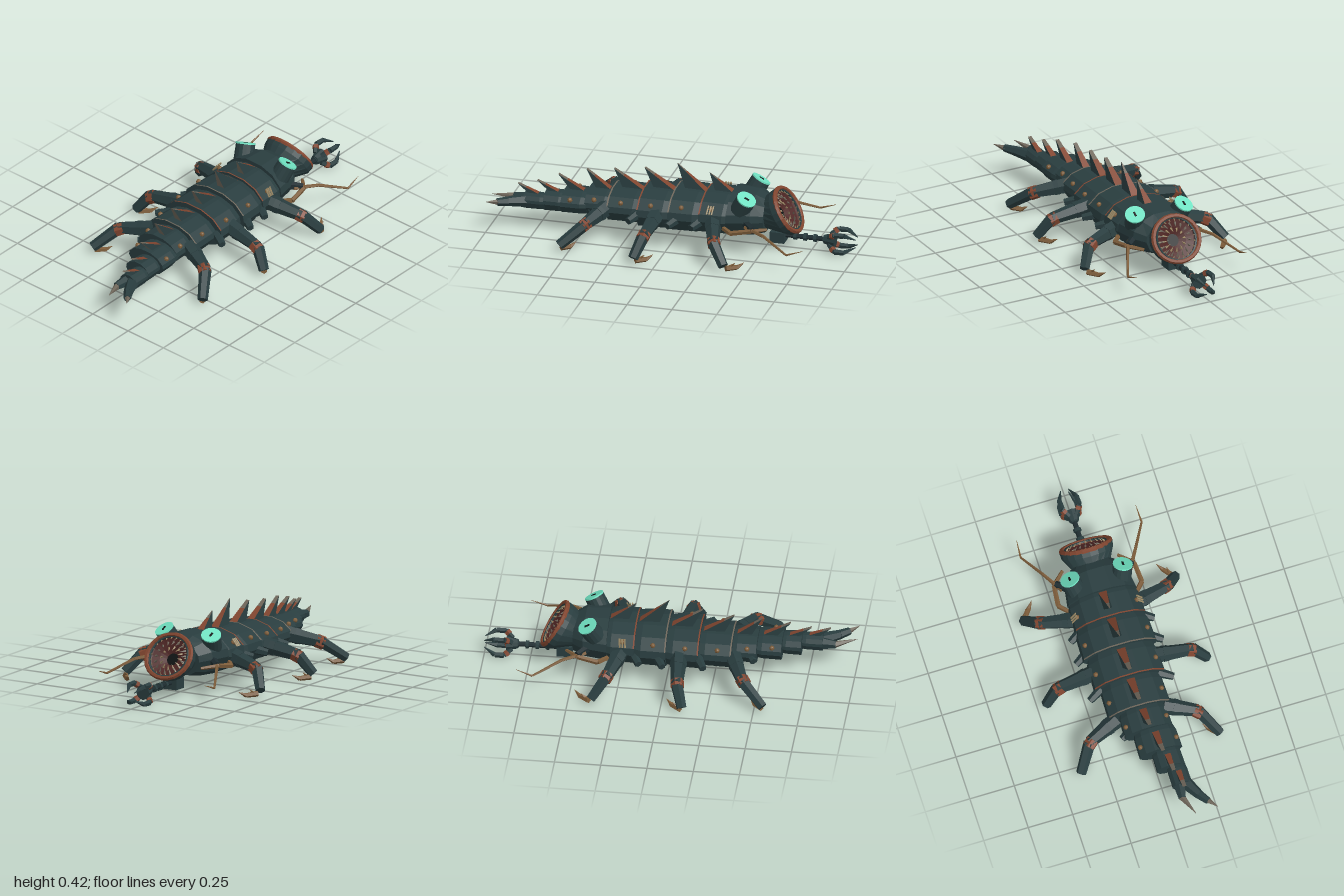
import * as THREE from 'three';

const material = (name, color, extra = {}) =>
  Object.assign(new THREE.MeshStandardMaterial({ color, flatShading: true, ...extra }), { name });
const V = (x, y, z) => new THREE.Vector3(x, y, z);

export function createModel() {
  const shell = material('dark teal shell', 0x293d3f);
  const joint = material('dark joint', 0x1e2c30);
  const rust = material('rust', 0x824630);
  const tan = material('brown claw', 0x7c5c3a);
  const taupe = material('grey horn', 0x6e665a);
  const bone = material('pale bone', 0x9c8a66);
  const aqua = material('aqua eye', 0x70e2c2);
  const black = material('black', 0x101414);
  const flesh = material('mouth flesh', 0x4e2624, { side: THREE.DoubleSide });
  const model = new THREE.Group();

  const add = (name, geo, mat, parent = model) => {
    const mesh = new THREE.Mesh(geo, mat);
    mesh.name = name;
    parent.add(mesh);
    return mesh;
  };
  // Tapered bar between two points
  const bar = (name, a, b, ra, rb, mat, sides = 6) => {
    const d = b.clone().sub(a);
    const m = add(name, new THREE.CylinderGeometry(rb, ra, d.length(), sides), mat);
    m.position.copy(a).addScaledVector(d, 0.5);
    m.quaternion.setFromUnitVectors(V(0, 1, 0), d.normalize());
  };
  // Chain of bars through several points
  const chain = (name, pts, radii, mat, sides = 6) => {
    for (let i = 0; i + 1 < pts.length; i++) bar(name, pts[i], pts[i + 1], radii[i], radii[i + 1], mat, sides);
  };
  const mirror = (p, s) => V(p[0] * s, p[1], p[2]);

  const fromPoints = (points) => {
    const g = new THREE.BufferGeometry().setFromPoints(points);
    g.computeVertexNormals();
    return g;
  };
  // Skin over rings of points, ordered along +z
  const loft = (rings, closed = true, capFront = true) => {
    const pts = [];
    const n = rings[0].length;
    for (let i = 0; i + 1 < rings.length; i++)
      for (let j = 0; j < (closed ? n : n - 1); j++) {
        const k = (j + 1) % n, [r, q] = [rings[i], rings[i + 1]];
        pts.push(r[j], r[k], q[k], r[j], q[k], q[j]);
      }
    if (closed) {
      const first = rings[0], last = rings[rings.length - 1];
      for (let j = 1; j < n - 1; j++) {
        if (capFront) pts.push(first[0], first[j + 1], first[j]);
        pts.push(last[0], last[j], last[j + 1]);
      }
    }
    return fromPoints(pts);
  };
  // Flat face with corners in counter-clockwise order
  const face = (name, mat, a, b, c, d) => add(name, fromPoints(d ? [a, b, c, a, c, d] : [a, b, c]), mat);

  // Body cross-section: half profile mirrored
  const half = [[0.5, 0], [0.8, 0.13], [1, 0.45], [0.96, 0.64], [0.68, 0.88], [0.27, 1]];
  const profile = [...half, ...half.slice().reverse().map(([x, y]) => [-x, y])];
  const ring = (z, cx, w, yb, yt, s = 1, pts = profile) => {
    const mid = (yb + yt) / 2;
    return pts.map(([x, y]) => V(cx + x * w * s, mid + (yb + y * (yt - yb) - mid) * s, z));
  };

  // Overlapping body plates: z0, z1, centre x, half width, bottom, top
  const plates = [
    [-0.34, -0.17, 0, 0.2, 0.08, 0.295], [-0.18, 0, 0, 0.208, 0.075, 0.29],
    [-0.01, 0.175, 0, 0.2, 0.075, 0.275], [0.16, 0.35, 0, 0.175, 0.085, 0.255],
    [0.34, 0.48, 0.012, 0.135, 0.1, 0.24], [0.47, 0.61, 0.04, 0.12, 0.105, 0.225],
    [0.6, 0.71, 0.066, 0.08, 0.108, 0.212], [0.7, 0.82, 0.095, 0.055, 0.115, 0.2],
  ];
  // Back spine tips: y, z
  const tips = [[0.385, -0.18], [0.42, 0], [0.375, 0.18], [0.35, 0.35], [0.335, 0.5], [0.3, 0.65], [0.262, 0.76], [0.245, 0.86]];

  plates.forEach(([z0, z1, cx, w, yb, yt], i) => {
    const at = (z, s, pts) => ring(z, cx, w, yb, yt, s, pts);
    add('bodyPlate', loft([at(z0, 0.9), at(z0 + (z1 - z0) * 0.25, 0.98), at(z1, 1)]), shell);
    if (i < 4) {
      const top = profile.slice(3, 9);
      add('plateRim', loft([at(z1 - 0.007, 1.006, top), at(z1 + 0.001, 1.01, top)], false), i % 2 ? taupe : rust);
    }
    if (i < 6) for (const s of [1, -1]) {
      const bolt = add('bolt', new THREE.SphereGeometry(0.014, 8, 6), tan);
      bolt.position.set(cx + s * w * 0.84, yb + (yt - yb) * 0.75, (z0 + z1) / 2 + 0.02);
    }
    // Spine blade: rust front, shell sides, horn tip and back
    const b = w * 0.06 + 0.014, t = i < 2 ? 0.002 : 0.01;
    const zf = z0 + 0.01, zb = z1 - (z1 - z0) * 0.3, yf = yt - 0.015;
    const [fl, fr, bl, br] = [V(cx - b, yf, zf), V(cx + b, yf, zf), V(cx - b, yf, zb), V(cx + b, yf, zb)];
    const [tl, tr] = [V(cx - t, ...tips[i]), V(cx + t, ...tips[i])];
    const [ml, mr] = [fl.clone().lerp(tl, 0.7), fr.clone().lerp(tr, 0.7)];
    face('spineFront', rust, fr, fl, ml, mr);
    face('spineTip', taupe, mr, ml, tl, tr);
    face('spineSide', shell, fl, bl, tl);
    face('spineSide', shell, br, fr, tr);
    face('spineBack', taupe, bl, br, tr, tl);
  });

  // Head
  add('head', loft([ring(-0.51, 0, 0.125, 0.1, 0.275), ring(-0.45, 0, 0.175, 0.09, 0.305), ring(-0.32, 0, 0.195, 0.08, 0.31)]), shell);

  // Funnel mouth with a thick lip facing forward and up
  const circle = (n, f) => Array.from({ length: n }, (_, i) => f(Math.cos(i / n * Math.PI * 2), Math.sin(i / n * Math.PI * 2)));
  const lipRing = (back, k) => circle(20, (c, s) =>
    V(c * 0.148 * k, 0.218 + s * 0.114 * k - back * 0.52, -0.618 + s * 0.07 * k + back * 0.854));
  const neckRing = circle(20, (c, s) => V(c * 0.09, 0.19 + s * 0.08, -0.48));
  add('mouthFunnel', loft([lipRing(0, 1), lipRing(0.035, 0.98), neckRing], true, false), shell);
  const mouth = new THREE.Group();
  mouth.name = 'mouth';
  mouth.position.set(0, 0.218, -0.618);
  mouth.lookAt(0, 0.218 + 0.52, -0.618 - 0.854);
  model.add(mouth);
  add('mouthRim', new THREE.TorusGeometry(0.135, 0.014, 6, 24), rust, mouth).scale.y = 0.93;
  add('innerRim', new THREE.TorusGeometry(0.116, 0.007, 5, 24), shell, mouth);
  const throat = new THREE.LatheGeometry([[0.135, 0], [0.11, -0.015], [0.07, -0.03], [0.03, -0.05]].map(([r, y]) => new THREE.Vector2(r, y)), 20);
  add('throat', throat.rotateX(Math.PI / 2), flesh, mouth);
  add('gullet', new THREE.CircleGeometry(0.034, 16), black, mouth).position.z = -0.047;
  [[0.108, 22, 0], [0.08, 17, -0.014], [0.054, 12, -0.026]].forEach(([r, n, z], k) => {
    for (let i = 0; i < n; i++) {
      const a = (i + k * 0.5) / n * Math.PI * 2;
      const tooth = add('tooth', new THREE.ConeGeometry(0.008, 0.036, 4), k === 1 ? taupe : bone, mouth);
      tooth.position.set(Math.cos(a) * r, Math.sin(a) * r, z);
      tooth.quaternion.setFromUnitVectors(V(0, 1, 0), V(-Math.cos(a), -Math.sin(a), 0.75).normalize());
    }
  });

  // Grabber under the mouth with four fingers
  add('grabberBase', new THREE.BoxGeometry(0.08, 0.06, 0.08), shell).position.set(0, 0.063, -0.565);
  bar('grabberArm', V(0, 0.07, -0.58), V(0, 0.07, -0.84), 0.014, 0.014, joint, 8);
  for (let i = 0; i < 4; i++) bar('grabberCollar', V(0, 0.07, -0.65 - i * 0.055), V(0, 0.07, -0.667 - i * 0.055), 0.022, 0.022, shell, 8);
  bar('grabberPalm', V(0, 0.07, -0.82), V(0, 0.07, -0.88), 0.026, 0.042, shell, 8);
  for (let i = 0; i < 4; i++) {
    const a = Math.PI * (0.25 + i * 0.5);
    const p = (r, z) => V(Math.cos(a) * r, 0.07 + Math.sin(a) * r, z);
    chain('grabberFinger', [p(0.03, -0.85), p(0.068, -0.89), p(0.068, -0.94), p(0.03, -1)], [0.014, 0.016, 0.014, 0.002], shell, 5);
    bar('grabberKnuckle', p(0.05, -0.868), p(0.064, -0.883), 0.018, 0.018, rust, 5);
  }

  // Legs: hip, knee, ankle, claw tip
  const legs = [
    [[0.15, 0.175, -0.24], [0.36, 0.135, -0.3], [0.428, 0.035, -0.375], [0.35, 0.035, -0.47]],
    [[0.15, 0.175, 0.07], [0.38, 0.135, 0.085], [0.453, 0.035, 0.12], [0.375, 0.035, 0.03]],
    [[0.13, 0.17, 0.36], [0.305, 0.135, 0.43], [0.39, 0.035, 0.55], [0.315, 0.035, 0.475]],
  ];
  for (const s of [1, -1]) {
    for (const leg of legs) {
      const [hip, knee, ankle, tip] = leg.map((p) => mirror(p, s));
      bar('upperLeg', hip, knee, 0.048, 0.033, shell);
      bar('hipCollar', hip.clone().lerp(knee, 0.28), hip.clone().lerp(knee, 0.42), 0.047, 0.044, shell);
      bar('kneeGuard', knee.clone().lerp(hip, 0.13), knee.clone().lerp(ankle, 0.13), 0.037, 0.037, rust);
      bar('lowerLeg', knee, ankle, 0.034, 0.028, shell);
      // Claws start inside the ankle
      const root = ankle.clone().lerp(tip, 0.12).setY(0.02);
      const toe = ankle.clone().lerp(tip, 0.65).setY(0.014);
      chain('footClaw', [root, toe, tip], [0.017, 0.013, 0.001], tan, 5);
      bar('sideClaw', ankle.clone().lerp(toe, 0.5), ankle.clone().lerp(tip, 0.6).add(V(s * 0.015, 0.012, 0)), 0.01, 0.001, tan, 4);
    }
    // Side nubs between the legs
    for (const [x, z] of [[0.2, -0.16], [0.21, -0.03], [0.2, 0.19], [0.1, 0.45]])
      bar('sideNub', V(s * (x - 0.04), 0.17, z - 0.02), V(s * (x + 0.035), 0.15, z + 0.02), 0.028, 0.02, shell);
    // Gill bars
    for (let i = 0; i < 3; i++)
      bar('gillBar', V(s * 0.172, 0.265, -0.25 + i * 0.014), V(s * 0.2, 0.225, -0.245 + i * 0.014), 0.005, 0.005, bone, 4);

    // Drum eye tilted forward and outward, with a slit pupil
    const eye = new THREE.Group();
    eye.name = 'eye';
    eye.position.set(s * 0.148, 0.313, -0.425);
    eye.rotation.set(-0.5, 0, -s * 0.25);
    model.add(eye);
    add('eyeDrum', new THREE.CylinderGeometry(0.053, 0.056, 0.085, 16), shell, eye).position.y = -0.045;
    add('eyeLens', new THREE.CylinderGeometry(0.054, 0.054, 0.008, 20), aqua, eye).position.y = 0.002;
    add('pupil', new THREE.BoxGeometry(0.011, 0.004, 0.028), black, eye).position.y = 0.007;

    // Whip antenna and curved mandible
    chain('antenna', [[0.19, 0.17, -0.43], [0.26, 0.16, -0.55], [0.34, 0.1, -0.7], [0.335, 0.13, -0.79]].map((p) => mirror(p, s)), [0.012, 0.009, 0.006, 0.001], tan, 5);
    bar('antennaSocket', mirror([0.15, 0.18, -0.42], s), mirror([0.215, 0.17, -0.475], s), 0.026, 0.018, joint);
    chain('mandible', [[0.19, 0.15, -0.31], [0.235, 0.145, -0.36], [0.225, 0.165, -0.47], [0.155, 0.155, -0.54]].map((p) => mirror(p, s)), [0.013, 0.014, 0.013, 0.009], tan, 5);
  }

  // Forked tail
  bar('tailFork', V(0.08, 0.155, 0.8), V(0.072, 0.155, 0.89), 0.036, 0.022, shell);
  bar('tailSpike', V(0.072, 0.155, 0.88), V(0.115, 0.172, 1), 0.02, 0.001, taupe, 5);
  chain('tailFork', [V(0.11, 0.155, 0.8), V(0.165, 0.16, 0.9), V(0.2, 0.164, 0.95)], [0.038, 0.026, 0.02], shell);
  bar('tailSpike', V(0.195, 0.163, 0.94), V(0.24, 0.175, 1), 0.018, 0.001, taupe, 5);

  return model;
}
